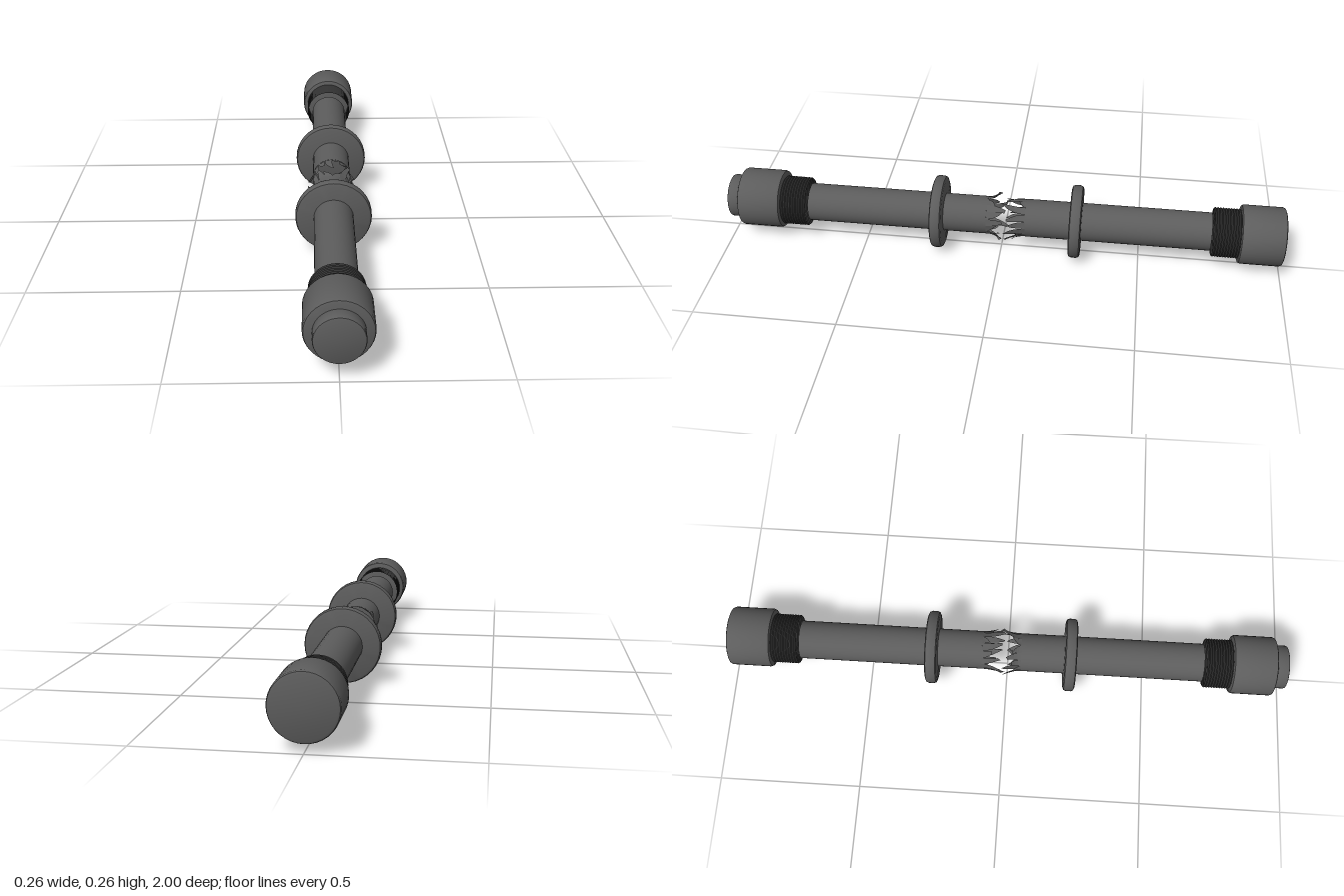
import * as THREE from 'three';
import { toCreasedNormals } from 'three/addons/utils/BufferGeometryUtils.js';

const AXIS_Y = 0.132;
const PIPE_R = 0.068;

function seeded(seed) {
  let s = seed;
  return () => ((s = (s * 16807) % 2147483647) / 2147483647);
}

// Turned part along z; profile is a list of [radius, z] with z ascending
function turned(name, profile, material, y = AXIS_Y) {
  const pts = profile.map(([r, z]) => new THREE.Vector2(r, z));
  const geo = new THREE.LatheGeometry(pts, 36).rotateX(Math.PI / 2);
  const mesh = new THREE.Mesh(toCreasedNormals(geo, 0.6), material);
  mesh.name = name;
  mesh.position.y = y;
  return mesh;
}

// Solid disc with bevelled rims
function disc(r, z0, z1, b) {
  return [[0, z0], [r - b, z0], [r - b * 0.3, z0 + b * 0.3], [r, z0 + b],
    [r, z1 - b], [r - b * 0.3, z1 - b * 0.3], [r - b, z1], [0, z1]];
}

// Screw thread as fine ridges on an open sleeve
function thread(z0, z1) {
  const pts = [];
  const n = 20;
  for (let i = 0; i <= n; i++) pts.push([i % 2 ? 0.0885 : 0.085, z0 + ((z1 - z0) * i) / n]);
  return pts;
}

// Ring of torn metal strips that start at z0, point along dir and bend outward or inward
function tornEdge(name, z0, dir, minLen, maxLen, seed, material) {
  const rand = seeded(seed);
  const pos = [];
  const count = 16;
  const rows = 4;
  const at = (a, r, z) => [Math.sin(a) * r, Math.cos(a) * r, z];
  for (let i = 0; i < count; i++) {
    const step = (Math.PI * 2) / count;
    const mid = (i + 0.5) * step;
    const len = minLen + (maxLen - minLen) * rand();
    const bend = (rand() - 0.35) * 0.034;
    const lean = (rand() - 0.5) * step * 1.3;
    const tip = 0.1 + rand() * 0.25;
    const strip = [];
    for (let k = 0; k <= rows; k++) {
      const t = k / rows;
      const half = (step / 2) * (1 - (1 - tip) * t * t);
      const c = mid + lean * t * t;
      const r = PIPE_R + bend * t * t;
      const z = z0 + dir * len * t;
      const skew = k === rows ? dir * 0.012 * (rand() - 0.5) : 0;
      strip.push([at(c - half, r, z - skew), at(c + half, r, z + skew)]);
    }
    for (let k = 0; k < rows; k++) {
      const [a, b] = strip[k];
      const [d, c] = strip[k + 1];
      if (dir > 0) pos.push(...a, ...c, ...b, ...a, ...d, ...c);
      else pos.push(...a, ...b, ...c, ...a, ...c, ...d);
    }
  }
  const geo = new THREE.BufferGeometry();
  geo.setAttribute('position', new THREE.Float32BufferAttribute(pos, 3));
  geo.computeVertexNormals();
  const mesh = new THREE.Mesh(geo, material);
  mesh.name = name;
  mesh.position.y = AXIS_Y;
  return mesh;
}

export function createModel() {
  const steel = new THREE.MeshStandardMaterial({ color: 0x5c5c5c, side: THREE.DoubleSide });
  steel.name = 'grey steel';
  const dark = new THREE.MeshStandardMaterial({ color: 0x303030, side: THREE.DoubleSide });
  dark.name = 'dark thread';

  const model = new THREE.Group();
  model.name = 'brokenPipe';

  // Front half: end nub, cap, thread, pipe, flange, torn end
  const front = new THREE.Group();
  front.name = 'frontHalf';
  front.add(
    turned('frontNub', disc(0.077, 0.94, 1.0, 0.006), steel, 0.136),
    turned('frontCap', disc(0.105, 0.8, 0.955, 0.01), steel, 0.136),
    turned('frontThread', thread(0.708, 0.802), dark),
    turned('frontPipe', [[PIPE_R, 0.05], [PIPE_R, 0.702]], steel),
    turned('frontFlange', disc(0.131, 0.205, 0.247, 0.012), steel),
    tornEdge('frontTornEdge', 0.05, -1, 0.03, 0.07, 41, steel),
  );

  // Back half: cap, thread, pipe, flange, torn end
  const back = new THREE.Group();
  back.name = 'backHalf';
  back.add(
    turned('backCap', disc(0.105, -1.0, -0.845, 0.01), steel),
    turned('backThread', thread(-0.847, -0.753), dark),
    turned('backPipe', [[PIPE_R, -0.747], [PIPE_R, -0.09]], steel),
    turned('backFlange', disc(0.131, -0.29, -0.248, 0.012), steel),
    tornEdge('backTornEdge', -0.09, 1, 0.025, 0.085, 977, steel),
  );

  model.add(front, back);
  return model;
}
